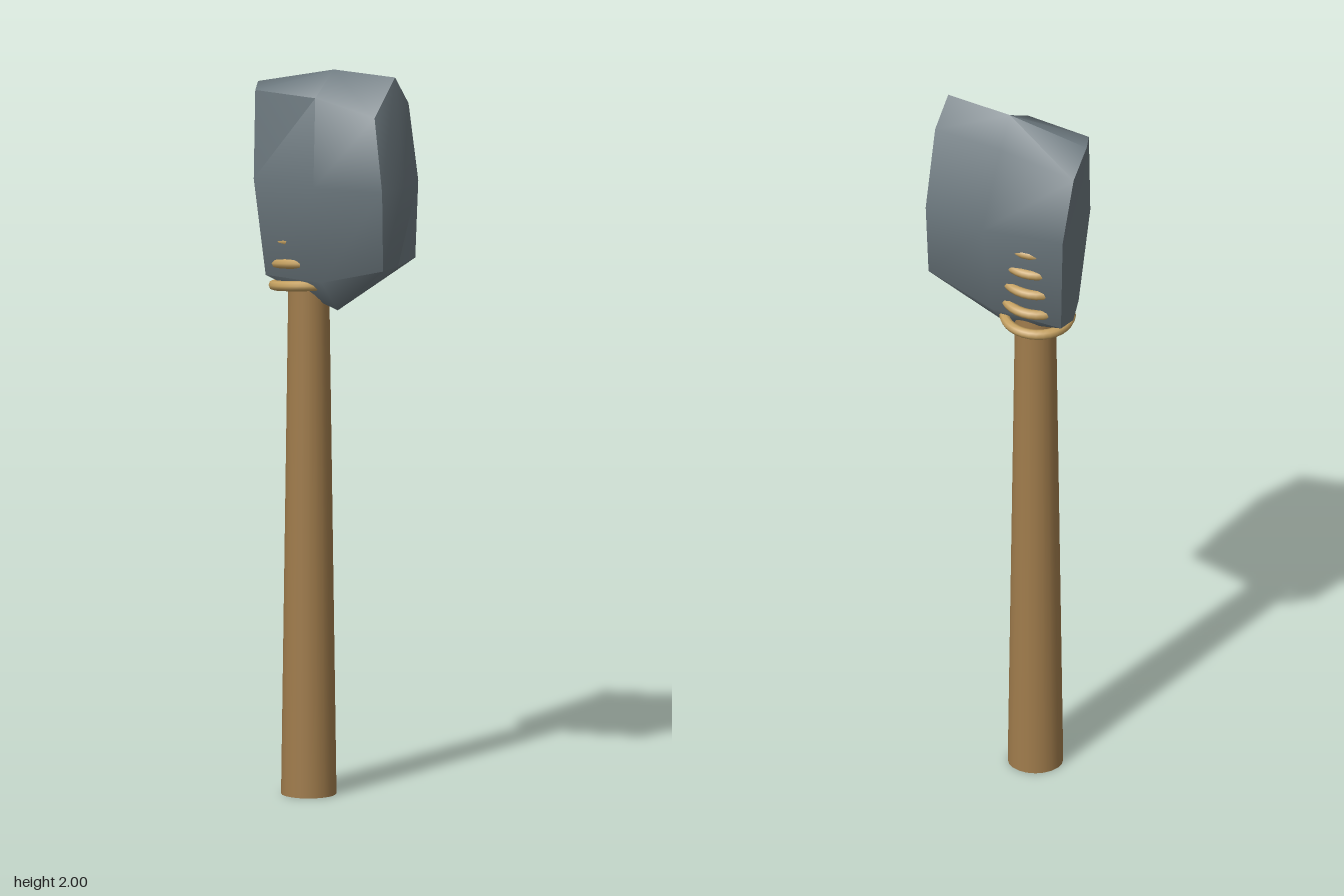
import * as THREE from 'three';
import { toCreasedNormals } from 'three/addons/utils/BufferGeometryUtils.js';

// Rough stone: three eight-sided cross-sections closed by a point at each end
function stoneGeometry() {
  const rings = [
    [[-0.2, 1.42, -0.05], [0, 1.43, -0.09], [0.2, 1.49, -0.11], [0.21, 1.48, -0.02],
      [0.22, 1.48, 0.06], [0.03, 1.43, 0.085], [-0.16, 1.43, 0.085], [-0.19, 1.41, 0.02]],
    [[-0.22, 1.7, -0.07], [0, 1.7, -0.137], [0.195, 1.7, -0.13], [0.222, 1.7, -0.03],
      [0.232, 1.7, 0.08], [0.04, 1.7, 0.135], [-0.17, 1.7, 0.125], [-0.2, 1.7, 0.03]],
    [[-0.235, 1.89, -0.04], [-0.02, 1.93, -0.08], [0.2, 1.92, -0.08], [0.2, 2.0, -0.02],
      [0.195, 1.9, 0.065], [0.02, 1.94, 0.1], [-0.18, 1.94, 0.105], [-0.22, 1.95, 0.04]],
  ];
  const points = [...rings.flat(), [0.02, 1.34, 0], [0, 2.0, -0.01]];
  const n = 8, bottom = 24, top = 25, index = [];
  for (let i = 0; i < n; i++) {
    const j = (i + 1) % n;
    for (let r = 0; r < 2; r++) {
      const a = r * n + i, b = r * n + j;
      index.push(a, a + n, b, b, a + n, b + n);
    }
    index.push(bottom, i, j, top, 2 * n + j, 2 * n + i);
  }
  const g = new THREE.BufferGeometry();
  g.setAttribute('position', new THREE.Float32BufferAttribute(points.flat(), 3));
  g.setIndex(index);
  return toCreasedNormals(g, 0.95);
}

export function createModel() {
  const model = new THREE.Group();
  model.name = 'stoneAxe';
  const add = (name, geometry, color, parent = model) => {
    const mesh = new THREE.Mesh(geometry, new THREE.MeshStandardMaterial({ color }));
    mesh.name = name;
    parent.add(mesh);
    return mesh;
  };

  // Tapered wooden handle, its top buried in the stone
  const handle = add('handle', new THREE.CylinderGeometry(0.054, 0.075, 1.5, 20), 0xa07c4c);
  handle.position.set(-0.072, 0.75, 0.008);

  // Stone head
  add('stoneHead', stoneGeometry(), 0x6b777d);

  // Tilted cord bindings, stacked up into the stone
  const binding = new THREE.Group();
  binding.name = 'binding';
  model.add(binding);
  const loop = new THREE.TorusGeometry(0.09, 0.014, 8, 32).rotateX(Math.PI / 2);
  for (let i = 0; i < 5; i++) {
    const cord = add('cordLoop' + (i + 1), loop, 0xc4a060, binding);
    cord.position.set(-0.083, 1.4 + i * 0.062, 0.002);
    cord.rotation.set(-0.1, 0, 0.1);
  }
  return model;
}
